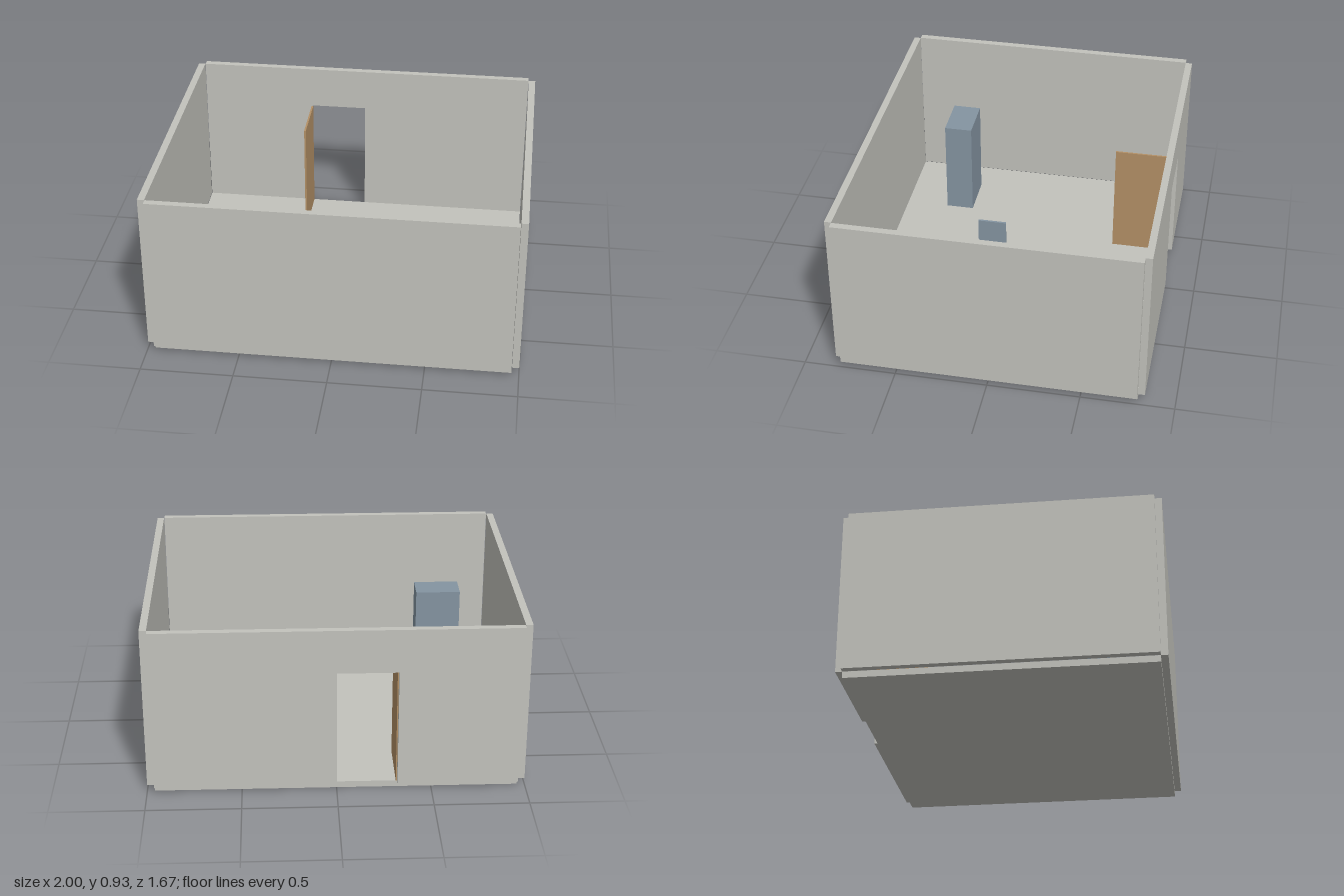
import * as THREE from 'three';

export function createModel() {
  const room = new THREE.Group();
  room.name = 'room';

  const material = (name, color) => {
    const m = new THREE.MeshStandardMaterial({ color });
    m.name = name;
    return m;
  };
  const plaster = material('grey plaster', 0xc2c2bc);
  const wood = material('warm wood', 0xb39066);
  const blue = material('slate blue', 0x8494a1);

  const FLOOR = 0.035, TOP = 0.93;

  // Box given by its lower and upper limits on each axis
  const box = (parent, name, mat, [x0, x1], [y0, y1], [z0, z1]) => {
    const mesh = new THREE.Mesh(new THREE.BoxGeometry(x1 - x0, y1 - y0, z1 - z0), mat);
    mesh.position.set((x0 + x1) / 2, (y0 + y1) / 2, (z0 + z1) / 2);
    mesh.name = name;
    parent.add(mesh);
    return mesh;
  };

  // Four square legs at the corners of a footprint
  const legs = (parent, name, mat, [x0, x1], height, [z0, z1], t) => {
    for (const x of [x0, x1 - t])
      for (const z of [z0, z1 - t])
        box(parent, name, mat, [x, x + t], [FLOOR, height], [z, z + t]);
  };

  const group = (name) => {
    const g = new THREE.Group();
    g.name = name;
    room.add(g);
    return g;
  };

  // Floor slab and plain walls, with open notches at the corners
  box(room, 'floor', plaster, [-0.96, 0.96], [0, FLOOR], [-0.8, 0.8]);
  box(room, 'frontWall', plaster, [-0.96, 0.96], [FLOOR, TOP], [0.8, 0.837]);
  box(room, 'leftWall', plaster, [0.962, 1], [FLOOR, TOP], [-0.8, 0.8]);
  box(room, 'rightWall', plaster, [-1, -0.962], [FLOOR, TOP], [-0.8, 0.8]);

  // Back wall outlined around the doorway
  const outline = new THREE.Shape([
    [-0.96, FLOOR], [-0.32, FLOOR], [-0.32, 0.69], [0, 0.69],
    [0, FLOOR], [0.96, FLOOR], [0.96, TOP], [-0.96, TOP],
  ].map(([x, y]) => new THREE.Vector2(x, y)));
  const backWall = new THREE.Mesh(
    new THREE.ExtrudeGeometry(outline, { depth: 0.037, bevelEnabled: false }), plaster);
  backWall.position.z = -0.837;
  backWall.name = 'backWall';
  room.add(backWall);

  // Door swung open into the room
  box(room, 'door', wood, [-0.324, -0.314], [FLOOR, 0.685], [-0.8, -0.485]);

  // Table
  const table = group('table');
  const tx = [0.225, 0.413], tz = [0, 0.32];
  box(table, 'tableTop', wood, tx, [0.315, 0.335], tz);
  legs(table, 'tableLeg', wood, tx, 0.315, tz, 0.022);

  // Chair facing the table
  const chair = group('chair');
  const cx = [0.048, 0.205], cz = [0.08, 0.238];
  box(chair, 'chairSeat', blue, cx, [0.2, 0.215], cz);
  box(chair, 'chairBack', blue, [0.048, 0.06], [0.215, 0.375], cz);
  legs(chair, 'chairLeg', blue, cx, 0.2, cz, 0.014);

  // Tall cabinet
  box(room, 'cabinet', blue, [-0.77, -0.515], [FLOOR, 0.595], [0.4, 0.557]);

  return room;
}
